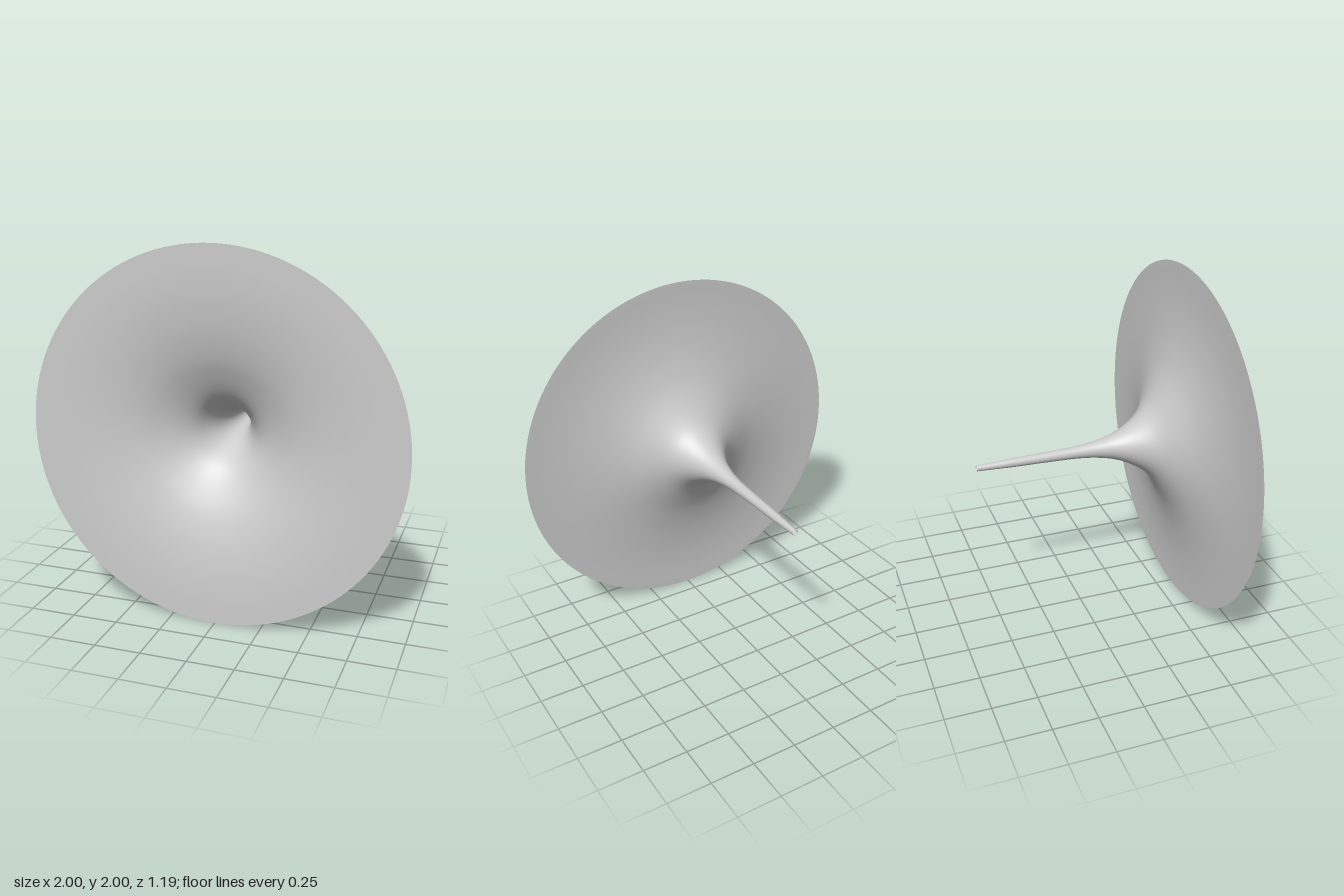
import * as THREE from 'three';

// Flared horn: one thin lathed surface, from the narrow rear tube to the wide front rim
export function createModel() {
  const group = new THREE.Group();
  group.name = 'horn';

  // [radius, z] along the horn
  const profile = [
    [0.016, -0.594], [0.02, -0.5], [0.025, -0.38], [0.029, -0.2], [0.037, 0], [0.05, 0.1],
    [0.075, 0.2], [0.122, 0.3], [0.2, 0.4], [0.37, 0.5], [0.53, 0.552],
    [0.7, 0.581], [0.85, 0.592], [1, 0.594],
  ].map(([r, z]) => new THREE.Vector3(r, z, 0));
  const points = new THREE.CatmullRomCurve3(profile, false, 'centripetal')
    .getPoints(104)
    .map((p) => new THREE.Vector2(p.x, p.y));

  const geometry = new THREE.LatheGeometry(points, 128);
  geometry.rotateX(Math.PI / 2); // lathe axis to +z, mouth facing front
  geometry.translate(0, 1, 0);

  const material = new THREE.MeshStandardMaterial({ color: 0xcccccc, side: THREE.DoubleSide });
  const bell = new THREE.Mesh(geometry, material);
  bell.name = 'flaredBell';
  group.add(bell);
  return group;
}
